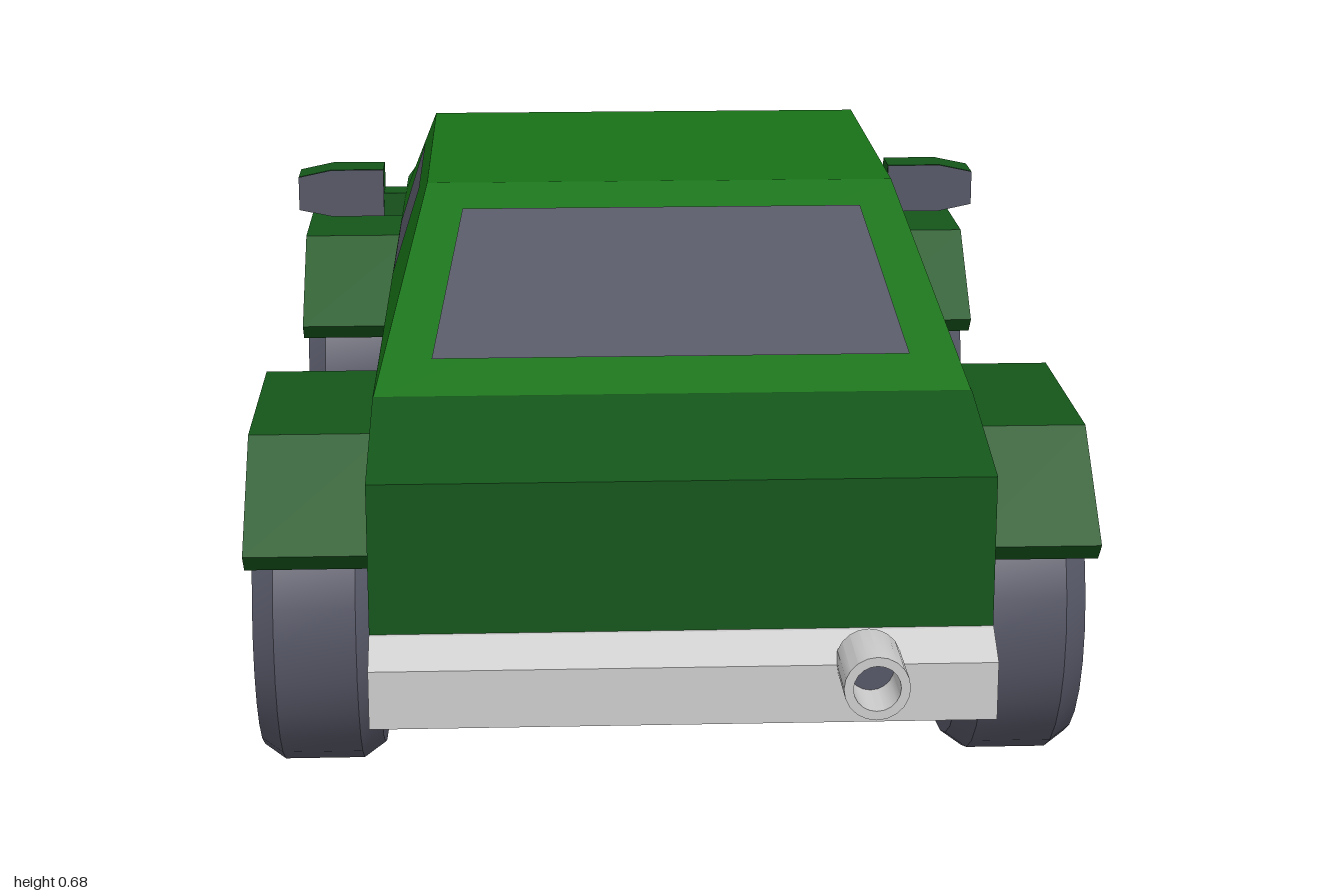
import * as THREE from 'three';
import { toCreasedNormals } from 'three/addons/utils/BufferGeometryUtils.js';

const mat = (color, side = THREE.FrontSide) =>
  new THREE.MeshStandardMaterial({ color, side });

export function createModel() {
  const car = new THREE.Group();
  car.name = 'car';
  const paint = mat(0x14561a);
  const brightPaint = mat(0x187218);
  const grey = mat(0xcccccc);
  const rubber = mat(0x565766);
  const glass = mat(0x565766, THREE.DoubleSide);

  function add(parent, name, geometry, material) {
    const mesh = new THREE.Mesh(geometry, material);
    mesh.name = name;
    parent.add(mesh);
    return mesh;
  }

  // Side profile of [z, y] points, extruded across the car from x0 to x1
  function slab(points, x0, x1) {
    const shape = new THREE.Shape(points.map(([z, y]) => new THREE.Vector2(z, y)));
    const g = new THREE.ExtrudeGeometry(shape, { depth: x1 - x0, bevelEnabled: false });
    return g.rotateY(-Math.PI / 2).translate(x1, 0, 0);
  }

  // Flat-shaded surface from quads of corner points
  function quads(list) {
    const pos = [];
    for (const [a, b, c, d] of list) pos.push(...a, ...b, ...c, ...a, ...c, ...d);
    const g = new THREE.BufferGeometry();
    g.setAttribute('position', new THREE.Float32BufferAttribute(pos, 3));
    g.computeVertexNormals();
    return g;
  }

  // Profile of [radius, offset] points turned around the x axis
  function turnedX(points, segments = 28) {
    const g = new THREE.LatheGeometry(points.map(([r, h]) => new THREE.Vector2(r, h)), segments);
    return toCreasedNormals(g.rotateZ(-Math.PI / 2), 0.5);
  }

  const W = 0.335;

  // Chassis tub and lower body
  add(car, 'chassis', slab([[0.89, 0.3], [0.93, 0.275], [0.93, 0.21], [0.71, 0.14],
    [-0.64, 0.14], [-1, 0.185], [-1, 0.3]], -W, W), grey);
  add(car, 'lowerBody', slab([[0.885, 0.3], [0.885, 0.468], [0.69, 0.507], [-0.51, 0.505],
    [-0.51, 0.3]], -W, W), paint);

  // Sunken hood between two raised front wings
  add(car, 'hood', slab([[-0.51, 0.3], [-0.51, 0.505], [-0.97, 0.315], [-0.97, 0.3]], -0.2, 0.2), brightPaint);
  const wing = [[-0.51, 0.3], [-0.51, 0.505], [-0.97, 0.432], [-0.97, 0.3]];

  // Cabin: a tapered block with sloping ends
  const base = [[-W, 0.505, 0.69], [W, 0.505, 0.69], [W, 0.505, -0.41], [-W, 0.505, -0.41]];
  const roof = [[-0.28, 0.68, 0.36], [0.28, 0.68, 0.36], [0.28, 0.68, -0.09], [-0.28, 0.68, -0.09]];
  const cabinFaces = [roof];
  for (let i = 0; i < 4; i++) {
    const j = (i + 1) % 4;
    cabinFaces.push([base[i], base[j], roof[j], roof[i]]);
  }
  add(car, 'cabin', quads(cabinFaces), brightPaint);

  // Windscreen and rear window
  add(car, 'windscreen', quads([[[W - 0.025, 0.514, -0.405], [-W + 0.025, 0.514, -0.405],
    [-0.25, 0.668, -0.122], [0.25, 0.668, -0.122]]]), glass);
  add(car, 'rearWindow', quads([[[-0.27, 0.538, 0.642], [0.27, 0.538, 0.642],
    [0.237, 0.659, 0.41], [-0.237, 0.659, 0.41]]]), glass);

  const flare = [[0.26, 0.332], [0.135, 0.437], [-0.135, 0.437], [-0.26, 0.332],
    [-0.24, 0.31], [-0.122, 0.41], [0.122, 0.41], [0.24, 0.31]];

  const tyreProfile = [[0.13, -0.06], [0.15, -0.072], [0.187, -0.072], [0.205, -0.047],
    [0.205, 0.047], [0.187, 0.072], [0.15, 0.072], [0.13, 0.06], [0.13, -0.06]];
  const rimProfile = [[0, -0.04], [0.09, -0.045], [0.132, -0.058], [0.132, 0.058],
    [0.105, 0.052], [0.1, 0.03], [0.085, 0.03], [0.07, 0], [0, 0]];
  const hubProfile = [[0.06, -0.01], [0.06, 0.02], [0.035, 0.045], [0.03, 0.052], [0, 0.052]];

  for (const s of [1, -1]) {
    const side = s > 0 ? 'left' : 'right';
    const span = (points, a, b) => slab(points, Math.min(s * a, s * b), Math.max(s * a, s * b));

    add(car, side + 'FrontWing', span(wing, 0.2, W), paint);

    // Headlight disc
    const light = add(car, side + 'Headlight',
      new THREE.CylinderGeometry(0.038, 0.038, 0.012, 20).rotateX(Math.PI / 2), grey);
    light.position.set(s * 0.268, 0.37, -0.97);

    // Side window lying on the sloping cabin side
    add(car, side + 'SideWindow', quads([[[s * 0.329, 0.537, 0.232], [s * 0.329, 0.537, -0.065],
      [s * 0.294, 0.646, -0.065], [s * 0.294, 0.646, 0.232]]]), glass);

    // Wheels with arch flares above
    for (const [end, z] of [['Rear', 0.465], ['Front', -0.545]]) {
      add(car, side + end + 'Flare', span(flare.map(([a, y]) => [a + z - 0.005, y]), W - 0.01, 0.483), paint);
      const wheel = new THREE.Group();
      wheel.name = side + end + 'Wheel';
      add(wheel, 'tyre', turnedX(tyreProfile), rubber);
      add(wheel, 'rim', turnedX(rimProfile), grey);
      add(wheel, 'hub', turnedX(hubProfile, 20), paint);
      wheel.position.set(s * 0.409, 0.205, z);
      if (s < 0) wheel.rotation.y = Math.PI;
      car.add(wheel);
    }

    // Door mirror: stem, tapered housing and glass facing the rear
    const stem = add(car, side + 'MirrorStem', new THREE.BoxGeometry(0.06, 0.033, 0.045), paint);
    stem.position.set(s * 0.35, 0.496, -0.38);
    const outline = new THREE.Shape([[0.365, 0.48], [0.44, 0.48], [0.487, 0.49], [0.487, 0.538],
      [0.44, 0.548], [0.365, 0.548]].map(([x, y]) => new THREE.Vector2(s * x, y)));
    add(car, side + 'MirrorHousing',
      new THREE.ExtrudeGeometry(outline, { depth: 0.055, bevelEnabled: false }), paint)
      .position.z = -0.41;
    add(car, side + 'MirrorGlass', new THREE.ShapeGeometry(outline), glass).position.z = -0.352;
  }

  // Exhaust pipe with an open end
  const pipe = [[0.018, 0.88], [0.035, 0.915], [0.035, 1], [0.025, 1], [0.025, 0.93]]
    .map(([r, h]) => new THREE.Vector2(r, h));
  add(car, 'exhaustPipe',
    toCreasedNormals(new THREE.LatheGeometry(pipe, 20).rotateX(Math.PI / 2), 0.5), grey)
    .position.set(0.197, 0.275, 0);
  add(car, 'exhaustBore', new THREE.CircleGeometry(0.026, 20), rubber).position.set(0.197, 0.275, 0.94);

  return car;
}
